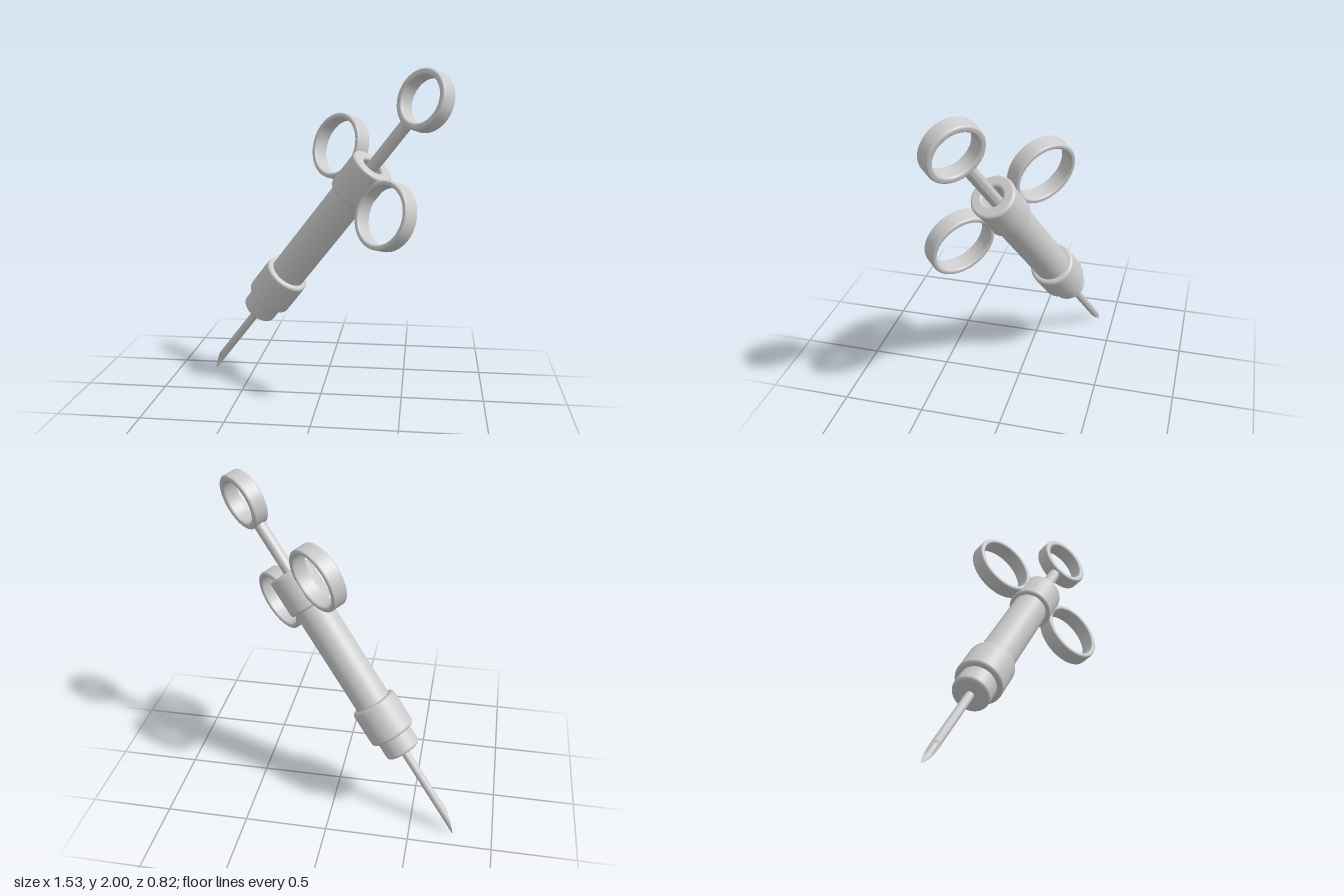
import * as THREE from 'three';
import { toCreasedNormals } from 'three/addons/utils/BufferGeometryUtils.js';

const material = new THREE.MeshStandardMaterial({ color: 0xcccccc });

// Rounded arc at a corner of a profile: from angle a0, a quarter turn anticlockwise
function arc(cx, cy, r, a0, steps = 6) {
  const pts = [];
  for (let i = 0; i <= steps; i++) {
    const a = a0 + (i / steps) * Math.PI / 2;
    pts.push(new THREE.Vector2(cx + r * Math.cos(a), cy + r * Math.sin(a)));
  }
  return pts;
}

// Band of revolution between two radii with all four edges rounded
function band(inner, outer, y0, y1, r) {
  const pts = [
    ...arc(inner + r, y0 + r, r, Math.PI),
    ...arc(outer - r, y0 + r, r, -Math.PI / 2),
    ...arc(outer - r, y1 - r, r, 0),
    ...arc(inner + r, y1 - r, r, Math.PI / 2),
  ];
  pts.push(pts[0].clone());
  return new THREE.LatheGeometry(pts, 64);
}

// Solid disc-ended drum with rounded rims
function drum(radius, y0, y1, r) {
  return new THREE.LatheGeometry([
    new THREE.Vector2(0, y0),
    new THREE.Vector2((radius - r) * 0.97, y0),
    ...arc(radius - r, y0 + r, r, -Math.PI / 2),
    ...arc(radius - r, y1 - r, r, 0),
    new THREE.Vector2((radius - r) * 0.97, y1),
    new THREE.Vector2(0, y1),
  ], 64);
}

// Hollow needle whose lower end is cut to a slanted, slightly curved bevel
function needleGeometry(inner, outer, y0, y1, bevel) {
  const g = new THREE.LatheGeometry([
    new THREE.Vector2(inner, y1),
    new THREE.Vector2(inner, y0),
    new THREE.Vector2(outer, y0),
    new THREE.Vector2(outer, y1),
  ], 40);
  const p = g.attributes.position;
  for (let i = 0; i < p.count; i++) {
    if (p.getY(i) > y0 + 0.01) continue;
    const u = Math.max(0, (p.getZ(i) + outer) / (2 * outer));
    p.setY(i, y0 + bevel * Math.pow(u, 0.75));
  }
  return toCreasedNormals(g, 0.6);
}

export function createModel() {
  const model = new THREE.Group();
  const syringe = new THREE.Group();
  syringe.name = 'syringe';
  model.add(syringe);

  const add = (name, geometry) => {
    const mesh = new THREE.Mesh(geometry, material);
    mesh.name = name;
    syringe.add(mesh);
    return mesh;
  };

  // Body, built along y from the needle tip upwards
  add('needle', needleGeometry(0.017, 0.025, 0.008, 0.64, 0.15));
  add('needleHub', drum(0.11, 0.6, 0.78, 0.02));
  add('lowerCollar', drum(0.142, 0.72, 0.952, 0.02));
  add('barrel', toCreasedNormals(new THREE.CylinderGeometry(0.11, 0.11, 0.84, 64).translate(0, 1.32, 0), 0.6));
  add('upperCollar', band(0.062, 0.135, 1.63, 1.872, 0.018));

  // Plunger with its thumb ring
  add('plungerRod', toCreasedNormals(new THREE.CylinderGeometry(0.037, 0.037, 0.61, 32).translate(0, 1.905, 0), 0.6));
  const thumbRing = add('thumbRing', band(0.135, 0.175, -0.05, 0.05, 0.014));
  thumbRing.rotation.x = Math.PI / 2;
  thumbRing.position.y = 2.363;

  // Pair of finger rings on either side of the upper collar
  for (const side of [-1, 1]) {
    const ring = add(side > 0 ? 'leftFingerRing' : 'rightFingerRing', band(0.169, 0.2, -0.05, 0.05, 0.012));
    ring.rotation.x = Math.PI / 2;
    ring.position.set(side * 0.303, 1.755, 0);
  }

  // Lean the whole syringe: y along its length, x across the finger rings
  const along = new THREE.Vector3(1.391, 1.82, 0.58).normalize();
  const across = new THREE.Vector3(0.295, -0.355, 0.395);
  across.addScaledVector(along, -across.dot(along)).normalize();
  const facing = new THREE.Vector3().crossVectors(across, along);
  syringe.quaternion.setFromRotationMatrix(new THREE.Matrix4().makeBasis(across, along, facing));
  syringe.position.set(-0.785, 0, -0.385);
  return model;
}
